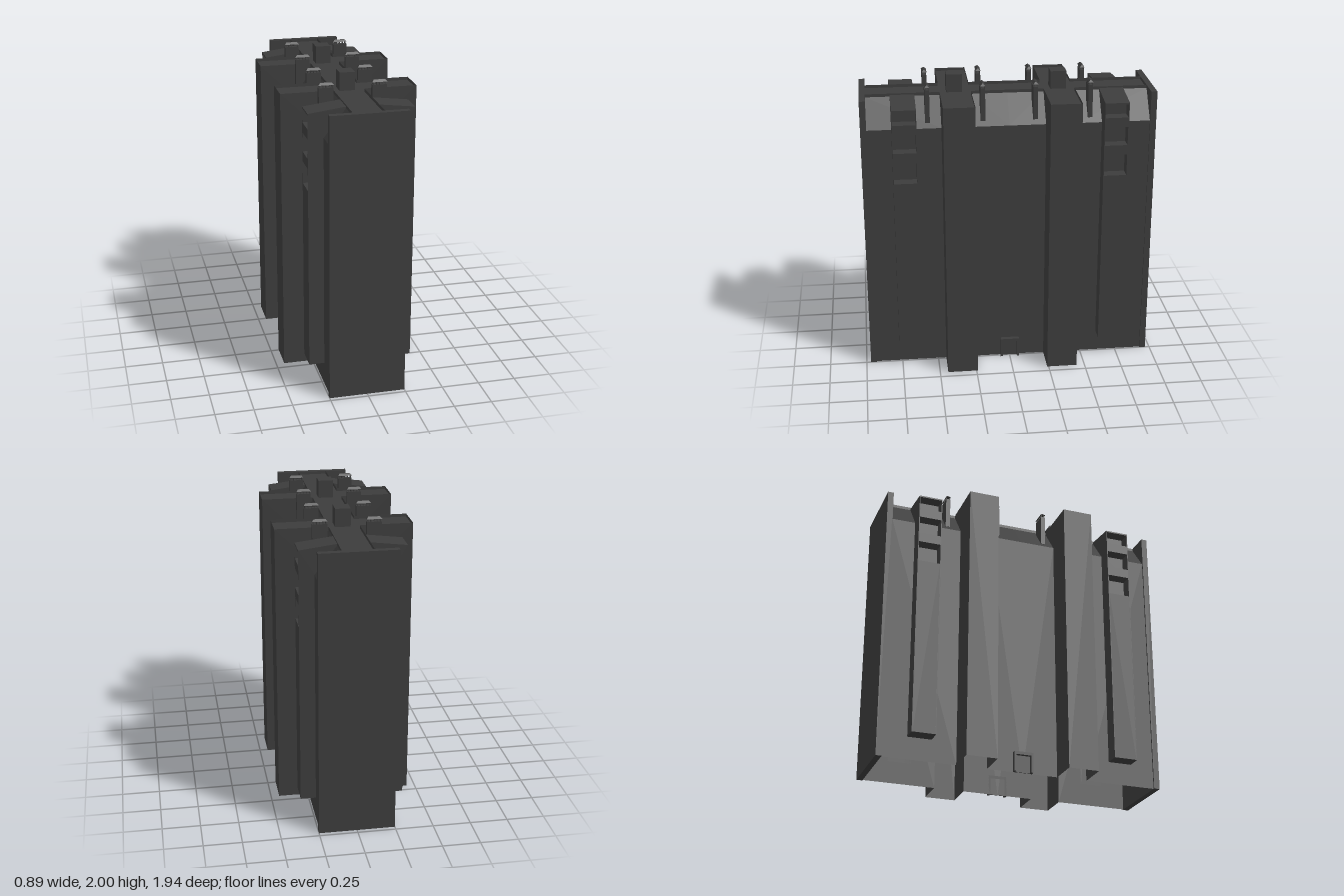
import * as THREE from 'three';

const MAT = new THREE.MeshStandardMaterial({ color: 0x3c3c3c, side: THREE.DoubleSide, flatShading: true });
const TOP = 1.9, DECK = 1.88, EAVE = 1.7;   // parapet, flat roof and eave heights
const SPINE = 0.1, BODY = 0.24, TOWER = 0.445; // half widths in x
const T0 = 0.24, T1 = 0.445, END = 0.93;     // tower and end positions in z

function add(parent, name, geometry, x = 0, y = 0, z = 0) {
  const mesh = new THREE.Mesh(geometry, MAT);
  mesh.name = name;
  mesh.position.set(x, y, z);
  parent.add(mesh);
  return mesh;
}

// box given by its low and high corners
function box(parent, name, [x0, y0, z0], [x1, y1, z1]) {
  return add(parent, name, new THREE.BoxGeometry(x1 - x0, y1 - y0, z1 - z0),
    (x0 + x1) / 2, (y0 + y1) / 2, (z0 + z1) / 2);
}

const shape = (points) => new THREE.Shape(points.map(([x, y]) => new THREE.Vector2(x, y)));

// thin sheet through (x0,y0) and (x1,y1), swept from z0 to z1
function sheet(parent, name, [x0, y0], [x1, y1], z0, z1) {
  const g = new THREE.BufferGeometry();
  g.setAttribute('position', new THREE.Float32BufferAttribute(
    [x0, y0, z0, x0, y0, z1, x1, y1, z1, x1, y1, z0], 3));
  g.setIndex([0, 2, 1, 0, 3, 2]);
  g.computeVertexNormals();
  return add(parent, name, g);
}

// bay with three recessed balconies on its outer face
function bay(parent) {
  const group = new THREE.Group();
  group.name = 'balconyBay';
  const inner = [[0.34, 0.15], [BODY, 0.15], [BODY, EAVE], [SPINE, DECK], [SPINE, 1.89], [0.34, 1.86]];
  const notches = [];
  for (const [low, high] of [[1.36, 1.505], [1.57, 1.695], [1.76, 1.85]].reverse()) {
    notches.push([0.34, high], [0.26, high], [0.26, low], [0.34, low]);
  }
  const extrude = (points, depth) => new THREE.ExtrudeGeometry(shape(points), { depth, bevelEnabled: false });
  add(group, 'bayCore', extrude([...inner, ...notches], 0.15), 0, 0, 0.615);
  for (const z of [0.61, 0.765]) add(group, 'baySide', extrude(inner, 0.005), 0, 0, z);
  parent.add(group);
}

// flat chimney with a small roof on posts
function chimney(parent, z) {
  const group = new THREE.Group();
  group.name = 'chimney';
  box(group, 'chimneyShaft', [0.125, 1.73, -0.015], [0.22, 1.95, 0.015]);
  for (let i = 0; i < 5; i++) {
    for (const side of [-0.011, 0.011]) {
      box(group, 'chimneyPost', [0.13 + i * 0.02, 1.95, side - 0.002], [0.134 + i * 0.02, 1.967, side + 0.002]);
    }
  }
  const cap = new THREE.CylinderGeometry(0.5, Math.SQRT1_2, 1, 4);
  cap.rotateY(Math.PI / 4);
  const p = cap.attributes.position;
  for (let i = 0; i < p.count; i++) {
    const upper = p.getY(i) > 0;
    p.setXYZ(i, Math.sign(Math.round(p.getX(i) * 10)) * (upper ? 0.037 : 0.05), upper ? 0.007 : -0.007,
      Math.sign(Math.round(p.getZ(i) * 10)) * (upper ? 0.003 : 0.017));
  }
  add(group, 'chimneyCap', cap, 0.1725, 1.974, 0);
  group.position.z = z;
  parent.add(group);
}

// one quarter of the block, mirrored to all four corners
function quarter(sx, sz) {
  const group = new THREE.Group();
  group.name = 'blockQuarter';
  for (const [z0, z1] of [[0, T0], [T1, END]]) {
    sheet(group, 'sideWall', [BODY, 0], [BODY, EAVE], z0, z1);
    sheet(group, 'slopedRoof', [BODY, EAVE], [SPINE, DECK], z0, z1);
    sheet(group, 'parapet', [SPINE, DECK], [SPINE, TOP], z0, z1);
  }
  // tower walls, open underneath
  const flank = shape([[BODY, 0], [TOWER, 0], [TOWER, TOP], [SPINE, TOP], [SPINE, DECK], [BODY, EAVE]]);
  for (const z of [T0, T1]) add(group, 'towerFlank', new THREE.ShapeGeometry(flank), 0, 0, z);
  sheet(group, 'towerFront', [TOWER, 0], [TOWER, TOP], T0, T1);
  bay(group);
  for (const z of [0.172, 0.533]) chimney(group, z);
  group.scale.set(sx, 1, sz);
  return group;
}

export function createModel() {
  const model = new THREE.Group();
  model.name = 'apartmentBlock';

  for (const sx of [1, -1]) for (const sz of [1, -1]) model.add(quarter(sx, sz));

  // flat roof over the spine and the towers
  const half = [[SPINE, END], [SPINE, T1], [TOWER, T1], [TOWER, T0], [SPINE, T0]];
  const right = [...half, ...half.map(([x, z]) => [x, -z]).reverse()];
  const plan = [...right, ...right.map(([x, z]) => [-x, z]).reverse()];
  const deck = new THREE.ShapeGeometry(shape(plan));
  deck.rotateX(-Math.PI / 2);
  add(model, 'flatRoof', deck, 0, DECK, 0);

  // end walls and roof stacks
  for (const s of [1, -1]) {
    add(model, 'endWall', new THREE.BoxGeometry(0.5, TOP, 0.04), 0, TOP / 2, s * 0.95);
    add(model, 'roofStack', new THREE.BoxGeometry(0.1, 0.12, 0.105), 0, 1.94, s * 0.345);
  }

  // entrance porches: two jambs, a lintel and a door
  for (const s of [1, -1]) {
    const porch = new THREE.Group();
    porch.name = 'entrance';
    for (const z of [-0.0575, 0.0575]) {
      add(porch, 'porchJamb', new THREE.BoxGeometry(0.03, 0.135, 0.015), 0.255, 0.0675, z);
    }
    add(porch, 'porchLintel', new THREE.BoxGeometry(0.03, 0.02, 0.1), 0.255, 0.125, 0);
    add(porch, 'door', new THREE.BoxGeometry(0.006, 0.115, 0.1), 0.244, 0.0575, 0);
    porch.scale.x = s;
    model.add(porch);
  }
  return model;
}
